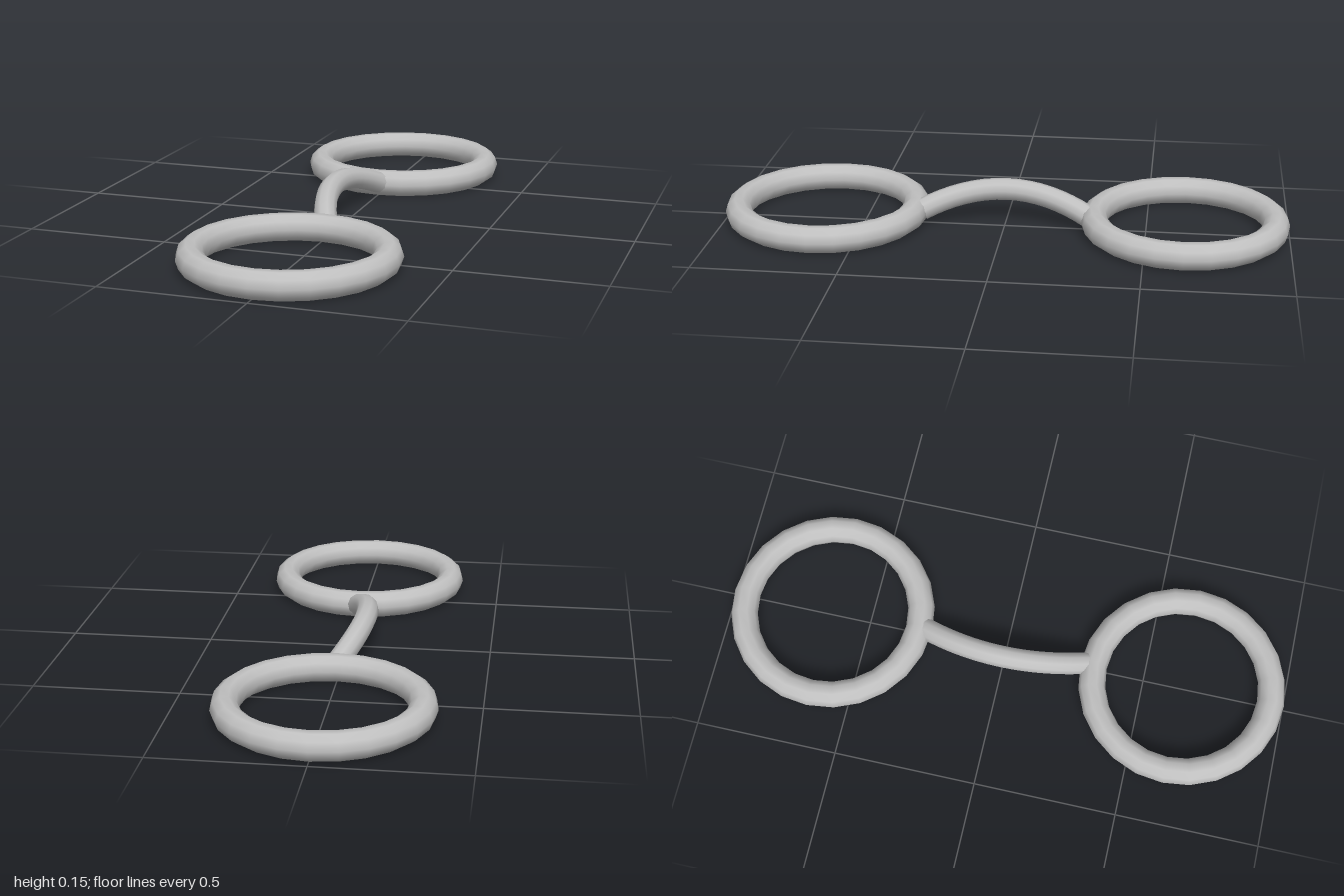
import * as THREE from 'three';

export function createModel() {
  const group = new THREE.Group();
  const steel = new THREE.MeshStandardMaterial({ color: 0xc0c0c0 });
  steel.name = 'plain grey';

  // Two flat rings, mirrored front to back
  const ringGeometry = new THREE.TorusGeometry(0.317, 0.0475, 10, 24).rotateX(Math.PI / 2);
  for (const side of [1, -1]) {
    const ring = new THREE.Mesh(ringGeometry, steel);
    ring.name = side > 0 ? 'frontRing' : 'backRing';
    ring.position.set(0, 0.045, side * 0.635);
    group.add(ring);
  }

  // Connecting rod bowed up and to the right
  const end = new THREE.Vector3(0.005, 0.05, 0.295);
  const start = new THREE.Vector3(0.005, 0.05, -0.295);
  const middle = new THREE.Vector3(-0.061, 0.116, 0);
  const control = middle.clone().multiplyScalar(2).sub(new THREE.Vector3(end.x, end.y, 0));
  const curve = new THREE.QuadraticBezierCurve3(start, control, end);
  const rodRadius = 0.039;
  const rod = new THREE.Mesh(new THREE.TubeGeometry(curve, 16, rodRadius, 10), steel);
  rod.name = 'connectingRod';
  group.add(rod);

  // Flat caps closing the rod
  for (const t of [0, 1]) {
    const cap = new THREE.Mesh(new THREE.CircleGeometry(rodRadius, 10), steel);
    cap.name = t ? 'frontRodCap' : 'backRodCap';
    const outward = curve.getTangent(t).multiplyScalar(t ? 1 : -1);
    cap.position.copy(curve.getPoint(t));
    cap.quaternion.setFromUnitVectors(new THREE.Vector3(0, 0, 1), outward);
    group.add(cap);
  }

  return group;
}
